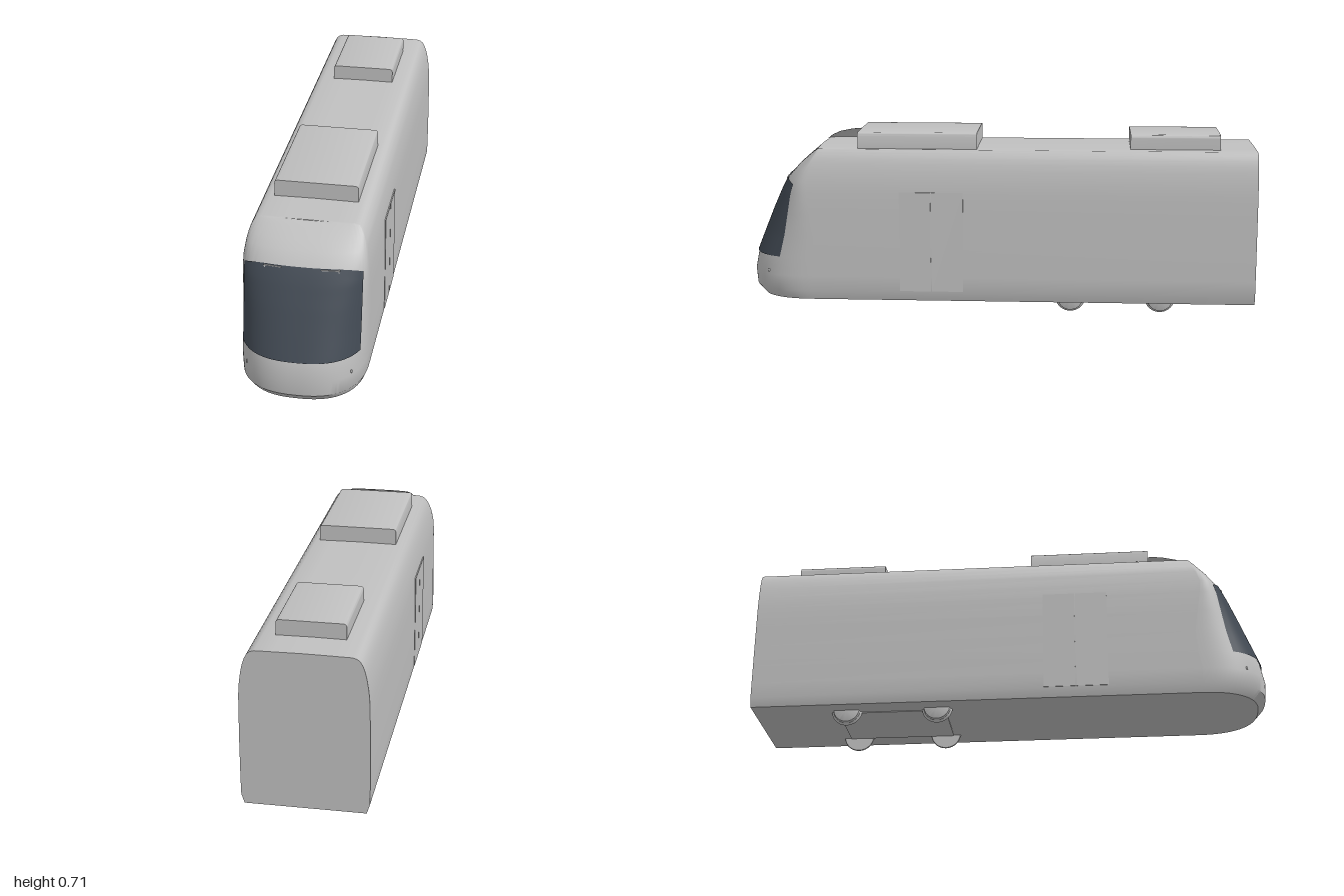
import * as THREE from 'three';
import { toCreasedNormals } from 'three/addons/utils/BufferGeometryUtils.js';

// Body levels: [height, half width, nose z, depth of the rounded nose]
const LEVELS = [
  [0.055, 0.219, 0.965, 0.24], [0.09, 0.23, 0.995, 0.25], [0.15, 0.231, 1.0, 0.25],
  [0.225, 0.231, 0.985, 0.25], [0.31, 0.231, 0.95, 0.22], [0.4, 0.23, 0.912, 0.17],
  [0.48, 0.229, 0.875, 0.12], [0.53, 0.225, 0.848, 0.09], [0.575, 0.218, 0.808, 0.065],
  [0.6, 0.212, 0.78, 0.05], [0.62, 0.205, 0.757, 0.035], [0.636, 0.196, 0.738, 0.025],
  [0.645, 0.186, 0.727, 0.015], [0.65, 0.17, 0.72, 0.008]
];
const POWER = 2.5;

// Closed grid of rows, stitched with faces outward
function loft(rows, closed, crease) {
  const n = rows[0].length, pos = rows.flat(2), idx = [];
  for (let i = 0; i < rows.length - 1; i++) {
    for (let j = 0; j < (closed ? n : n - 1); j++) {
      const a = i * n + j, b = i * n + (j + 1) % n;
      idx.push(a, a + n, b, b, a + n, b + n);
    }
  }
  const g = new THREE.BufferGeometry();
  g.setAttribute('position', new THREE.Float32BufferAttribute(pos, 3));
  g.setIndex(idx);
  g.computeVertexNormals();
  return crease ? toCreasedNormals(g, crease) : g;
}

function levelAt(y) {
  let i = 0;
  while (i < LEVELS.length - 2 && LEVELS[i + 1][0] < y) i++;
  const a = LEVELS[i], b = LEVELS[i + 1], t = (y - a[0]) / (b[0] - a[0]);
  return a.map((v, k) => v + (b[k] - v) * t);
}

// z of the nose surface at a given x and y
function noseZ(x, y) {
  const [, w, nose, depth] = levelAt(y);
  return nose - depth + depth * Math.pow(1 - Math.pow(Math.abs(x) / w, POWER), 1 / POWER);
}

// Plan outline of the body at one level
function planRing([y, w, nose, depth]) {
  const ring = [[w, y, -1]];
  for (let k = 0; k <= 48; k++) {
    const a = Math.PI * k / 48, c = Math.cos(a), s = Math.max(0, Math.sin(a));
    ring.push([w * Math.sign(c) * Math.pow(Math.abs(c), 2 / POWER), y,
      nose - depth + depth * Math.pow(s, 2 / POWER)]);
  }
  ring.push([-w, y, -1]);
  return ring;
}

function bodyGeometry() {
  const first = LEVELS[0], last = LEVELS[LEVELS.length - 1];
  const rows = [[first[0], 0, first[2], first[3]], ...LEVELS,
    [0.651, 0.1, last[2], 0.008], [0.652, 0, last[2], 0.008]];
  return loft(rows.map(planRing), true, 0.6);
}

// Curved pane laid just over the nose, upper corners slightly dropped
function windshieldGeometry() {
  const rows = [];
  for (let i = 0; i <= 20; i++) {
    const row = [];
    for (let j = 0; j <= 40; j++) {
      const u = 1 - j / 20, x = 0.212 * u;
      const top = 0.533 - 0.018 * Math.pow(Math.abs(u), 6);
      const y = 0.224 + (top - 0.224) * i / 20;
      row.push([x * 1.01, y, noseZ(x, y) + 0.004]);
    }
    rows.push(row);
  }
  return loft(rows, false);
}

// Low hump that carries the nose line up to the roof unit
function fairingGeometry() {
  const sections = [[0.45, 0.15, 0.002], [0.48, 0.173, 0.008], [0.53, 0.178, 0.028], [0.57, 0.177, 0.048],
    [0.62, 0.172, 0.044], [0.67, 0.164, 0.034], [0.7, 0.155, 0.02], [0.725, 0.14, 0]];
  const shape = [[1, 0], [0.93, 0.35], [0.85, 0.7], [0.78, 0.88], [0.65, 0.96], [0.35, 1]];
  const profile = [...shape, [0, 1], ...shape.slice().reverse().map(([x, y]) => [-x, y])];
  return loft(sections.map(([z, w, h]) => profile.map(([x, y]) => [-x * w, 0.649 + y * h, z])).reverse(), false);
}

// Roof box with rounded long top edges
function roofUnitGeometry(halfWidth, height, length) {
  const r = 0.014, s = new THREE.Shape();
  s.moveTo(-halfWidth, 0);
  s.lineTo(halfWidth, 0);
  s.lineTo(halfWidth, height - r);
  s.quadraticCurveTo(halfWidth, height, halfWidth - r, height);
  s.lineTo(-halfWidth + r, height);
  s.quadraticCurveTo(-halfWidth, height, -halfWidth, height - r);
  return toCreasedNormals(
    new THREE.ExtrudeGeometry(s, { depth: length, bevelEnabled: false, curveSegments: 6 }), 0.6);
}

export function createModel() {
  const group = new THREE.Group();
  const paint = new THREE.MeshStandardMaterial({ color: 0xc0c0c0 });
  paint.name = 'light grey paint';
  const glass = new THREE.MeshStandardMaterial({ color: 0x424a54, side: THREE.DoubleSide });
  glass.name = 'dark glass';

  const add = (name, geometry, material, x = 0, y = 0, z = 0) => {
    const mesh = new THREE.Mesh(geometry, material);
    mesh.name = name;
    mesh.position.set(x, y, z);
    group.add(mesh);
    return mesh;
  };

  add('body', bodyGeometry(), paint);
  add('windshield', windshieldGeometry(), glass);
  add('roofFairing', fairingGeometry(), paint);
  add('frontRoofUnit', roofUnitGeometry(0.155, 0.065, 0.47), paint, 0, 0.649, 0.09);
  add('rearRoofUnit', roofUnitGeometry(0.125, 0.06, 0.35), paint, 0, 0.649, -0.86);
  add('bogiePlate', new THREE.BoxGeometry(0.27, 0.008, 0.42), paint, 0, 0.056, -0.458);

  // Flanged wheel, flange on the side facing the middle
  const wheel = toCreasedNormals(new THREE.LatheGeometry([[0, -0.013], [0.045, -0.013], [0.05, -0.011],
    [0.052, 0.003], [0.058, 0.006], [0.06, 0.009], [0.058, 0.013], [0, 0.013]]
    .map(([r, h]) => new THREE.Vector2(r, h)), 40), 0.6);

  for (const side of [1, -1]) {
    const label = side > 0 ? 'left' : 'right';

    // Two door leaves with a narrow gap
    for (const z of [0.2015, 0.3285]) {
      add(label + 'DoorLeaf', new THREE.BoxGeometry(0.008, 0.395, 0.123), paint, side * 0.2285, 0.2925, z);
    }
    for (const z of [-0.28, -0.635]) {
      add(label + 'Wheel', wheel, paint, side * 0.147, 0.06, z).rotation.z = side * Math.PI / 2;
    }

    const lamp = add(label + 'Headlight', new THREE.SphereGeometry(1, 16, 12), paint,
      side * 0.19, 0.163, noseZ(0.19, 0.163));
    lamp.scale.set(0.004, 0.007, 0.005);

    // Small bracket at the top of the windshield
    add(label + 'BracketArm', new THREE.BoxGeometry(0.065, 0.003, 0.006), paint,
      side * 0.103, 0.528, noseZ(0.103, 0.528) + 0.003).rotation.y = side * 0.1;
    add(label + 'BracketEnd', new THREE.BoxGeometry(0.004, 0.014, 0.006), paint,
      side * 0.133, 0.523, noseZ(0.133, 0.523) + 0.003);
  }
  return group;
}
